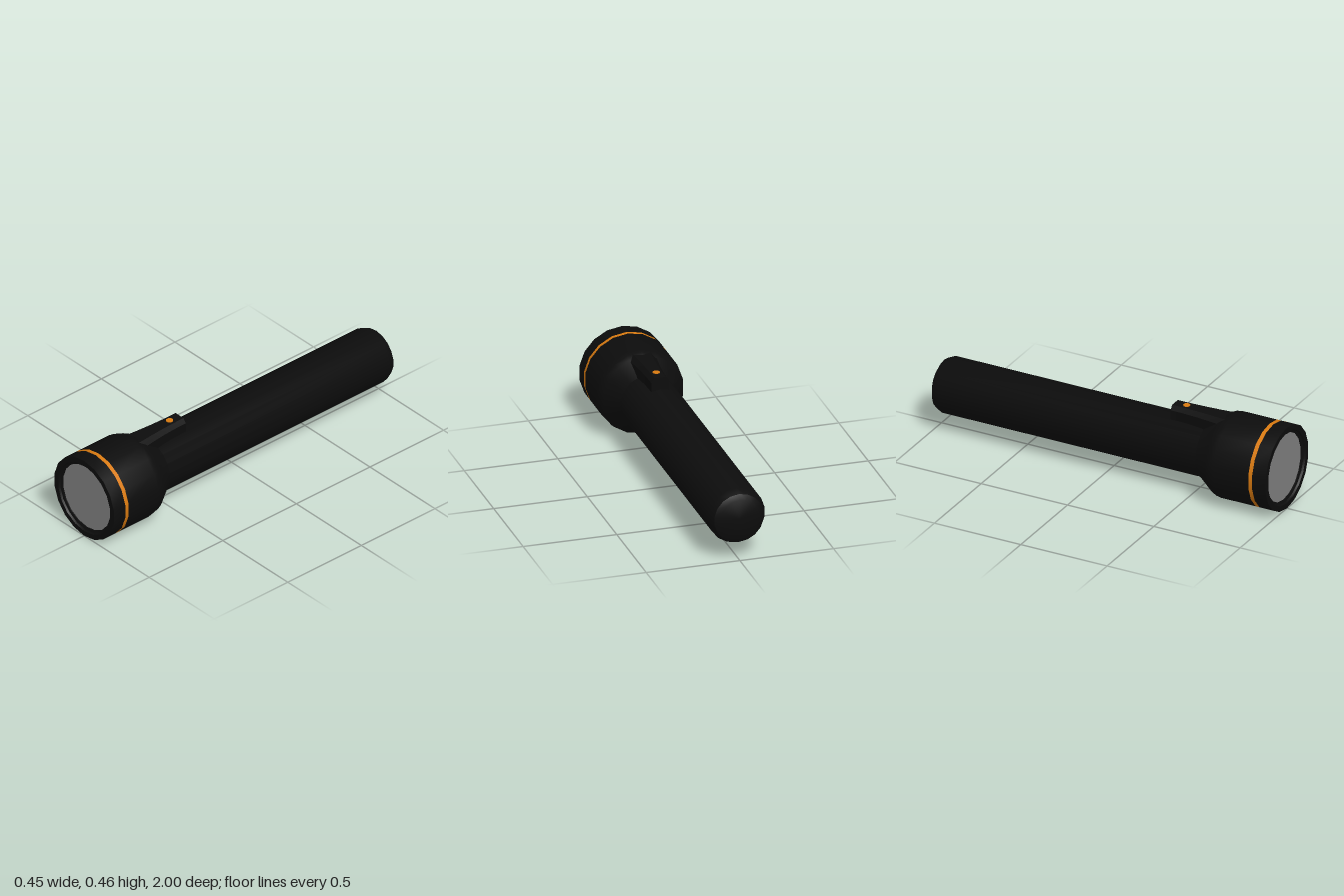
import * as THREE from 'three';
import { toCreasedNormals } from 'three/addons/utils/BufferGeometryUtils.js';

const SIDES = 18;
const AXIS_Y = 0.231;

const mat = (name, color) => {
  const m = new THREE.MeshStandardMaterial({ color });
  m.name = name;
  return m;
};

// Turned part along z from [radius, z] pairs, listed back to front
function turned(points, crease = 0.6) {
  const g = new THREE.LatheGeometry(points.map(([r, z]) => new THREE.Vector2(r, z)), SIDES);
  g.rotateX(Math.PI / 2);
  return toCreasedNormals(g, crease);
}

export function createModel() {
  const black = mat('matte black', 0x0c0c0c);
  const orange = mat('orange', 0xd97a10);
  const grey = mat('lens grey', 0x7f7f7f);

  const model = new THREE.Group();
  model.name = 'flashlight';
  const add = (name, geometry, material, y = AXIS_Y, z = 0) => {
    const mesh = new THREE.Mesh(geometry, material);
    mesh.name = name;
    mesh.position.set(0, y, z);
    model.add(mesh);
  };

  // Rounded tail cap, straight handle and flared head
  add('body', turned([
    [0, -1], [0.105, -1], [0.133, -0.985], [0.151, -0.945],
    [0.151, 0.55], [0.213, 0.64], [0.226, 0.67], [0.231, 0.7], [0.231, 0.9],
  ]), black);

  // Coloured band between the head and the bezel
  add('accentBand', turned([[0.231, 0.9], [0.231, 0.922]]), orange);

  // Bezel with a stepped inner lip
  add('bezel', turned([
    [0.231, 0.922], [0.231, 1], [0.202, 1], [0.198, 0.99], [0.185, 0.985], [0.185, 0.975],
  ]), black);

  // Lens disc
  const lens = new THREE.CircleGeometry(0.186, SIDES);
  lens.rotateZ(Math.PI / 2);
  add('lens', lens, grey, AXIS_Y, 0.98);

  // Switch housing: chamfered block that widens as it meets the head
  const section = new THREE.Shape([
    [-0.048, 0.34], [0.048, 0.34], [0.048, 0.425], [0.03, 0.448], [-0.03, 0.448], [-0.048, 0.425],
  ].map(([x, y]) => new THREE.Vector2(x, y)));
  const housing = new THREE.ExtrudeGeometry(section, { depth: 0.32, steps: 4, bevelEnabled: false });
  const p = housing.attributes.position;
  for (let i = 0; i < p.count; i++) {
    const t = p.getZ(i) / 0.32;
    p.setX(i, p.getX(i) * (1 + 0.6 * t * t));
  }
  housing.computeVertexNormals();
  add('switchHousing', toCreasedNormals(housing, 0.5), black, 0, 0.352);

  // Push button on the housing
  add('switchButton', new THREE.CylinderGeometry(0.019, 0.019, 0.008, 12), orange, 0.447, 0.42);

  return model;
}
